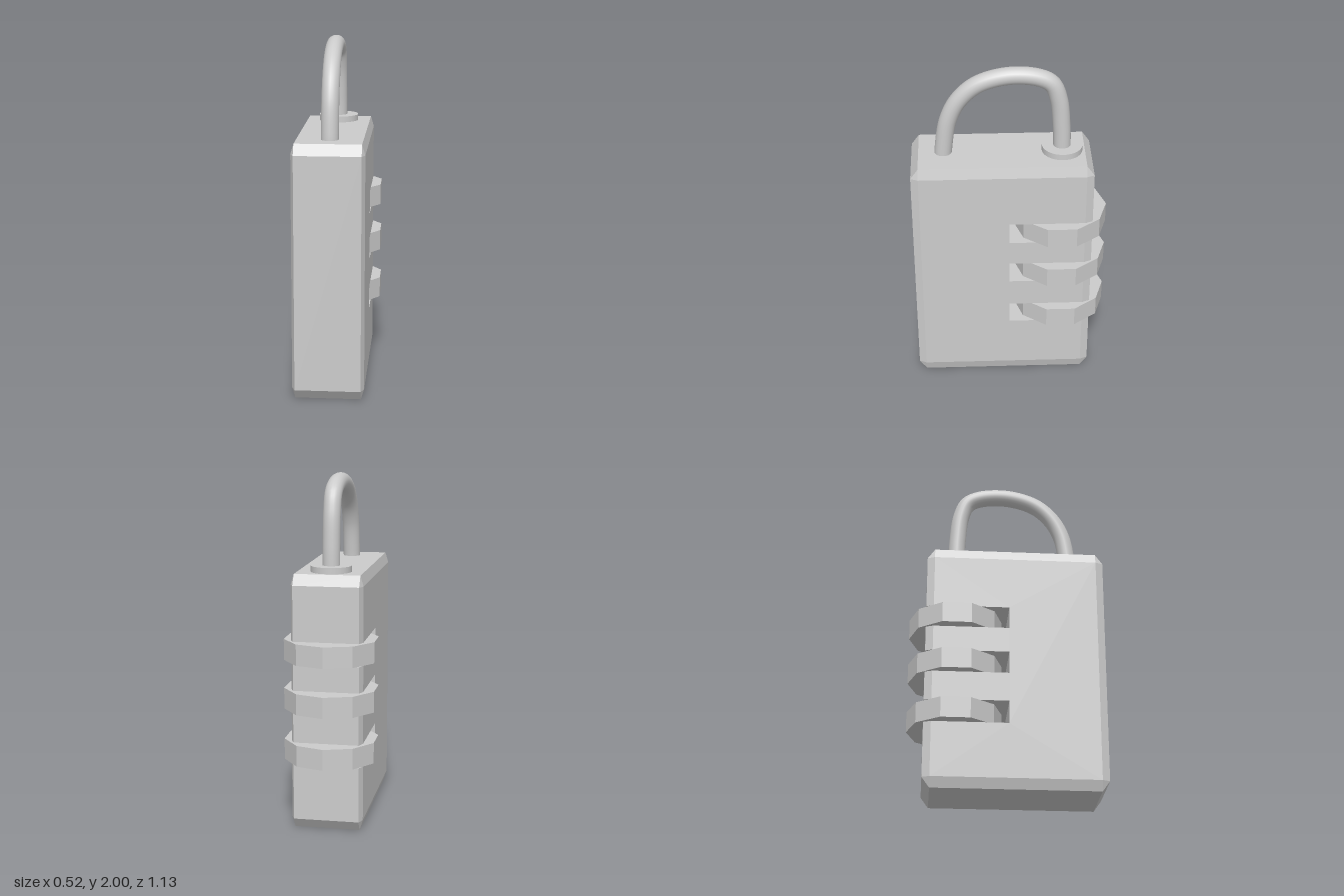
import * as THREE from 'three';

const grey = () => new THREE.MeshStandardMaterial({ color: 0xcccccc });
const add = (group, name, geometry, material = grey()) => {
  const mesh = new THREE.Mesh(geometry, material);
  mesh.name = name;
  group.add(mesh);
  return mesh;
};

// Dial openings as [bottom, top] heights
const SLOTS = [[0.38, 0.513], [0.683, 0.814], [0.964, 1.095]];
const BACK = 0.47, FRONT = -0.565, TOP = 1.47, CZ = 0.043, CY = 0.06;

// Chamfered case with slots cut through from the back
function caseGeometry() {
  // Side profile, u = -z, counter-clockwise seen from +x
  const outer = [[FRONT + CZ, 0], [BACK - CZ, 0], [BACK, CY]];
  for (const [low, high] of SLOTS) {
    outer.push([BACK, low], [-0.01, low], [-0.01, high], [BACK, high]);
  }
  outer.push([BACK, TOP - CY], [BACK - CZ, TOP], [FRONT + CZ, TOP], [FRONT, TOP - CY], [FRONT, CY]);

  // The side faces use the same profile clamped inside the chamfer
  const inner = outer.map(([u, y]) => [
    THREE.MathUtils.clamp(u, FRONT + CZ, BACK - CZ),
    THREE.MathUtils.clamp(y, CY, TOP - CY),
  ]);
  const rings = [[-0.205, inner], [-0.187, outer], [0.187, outer], [0.205, inner]];
  const n = outer.length;
  const positions = [], index = [];
  for (const [x, ring] of rings) for (const [u, y] of ring) positions.push(x, y, -u);

  for (let k = 0; k < 3; k++) {
    for (let i = 0; i < n; i++) {
      const j = (i + 1) % n;
      const a = k * n + i, b = k * n + j, c = a + n, d = b + n;
      index.push(a, b, c, b, d, c);
    }
  }
  const contour = inner.map(([u, y]) => new THREE.Vector2(u, y));
  for (const [a, b, c] of THREE.ShapeUtils.triangulateShape(contour, [])) {
    index.push(3 * n + a, 3 * n + b, 3 * n + c, a, c, b);
  }
  const indexed = new THREE.BufferGeometry();
  indexed.setAttribute('position', new THREE.Float32BufferAttribute(positions, 3));
  indexed.setIndex(index);
  const geometry = indexed.toNonIndexed();
  geometry.computeVertexNormals();
  return geometry;
}

export function createModel() {
  const lock = new THREE.Group();
  lock.name = 'combinationPadlock';

  add(lock, 'case', caseGeometry());

  // Ten-sided number dials
  const dialMaterial = grey();
  dialMaterial.flatShading = true;
  [0.446, 0.745, 1.029].forEach((y, i) => {
    const dial = add(lock, `dial${i + 1}`, new THREE.CylinderGeometry(0.272, 0.272, 0.121, 10), dialMaterial);
    dial.position.set(0, y, -0.293);
  });

  // Collar around the rear leg of the shackle
  const collar = add(lock, 'shackleCollar', new THREE.CylinderGeometry(0.116, 0.116, 0.055, 48));
  collar.position.set(0, 1.4775, -0.297);

  // Bent shackle, [z, y] along its centre line
  const path = [
    [0.382, 1.42], [0.377, 1.5], [0.347, 1.68], [0.285, 1.805], [0.18, 1.9], [0.01, 1.95],
    [-0.155, 1.938], [-0.232, 1.897], [-0.272, 1.8], [-0.292, 1.62], [-0.297, 1.45],
  ].map(([z, y]) => new THREE.Vector3(0, y, z));
  add(lock, 'shackle', new THREE.TubeGeometry(new THREE.CatmullRomCurve3(path), 64, 0.05, 20));

  return lock;
}
